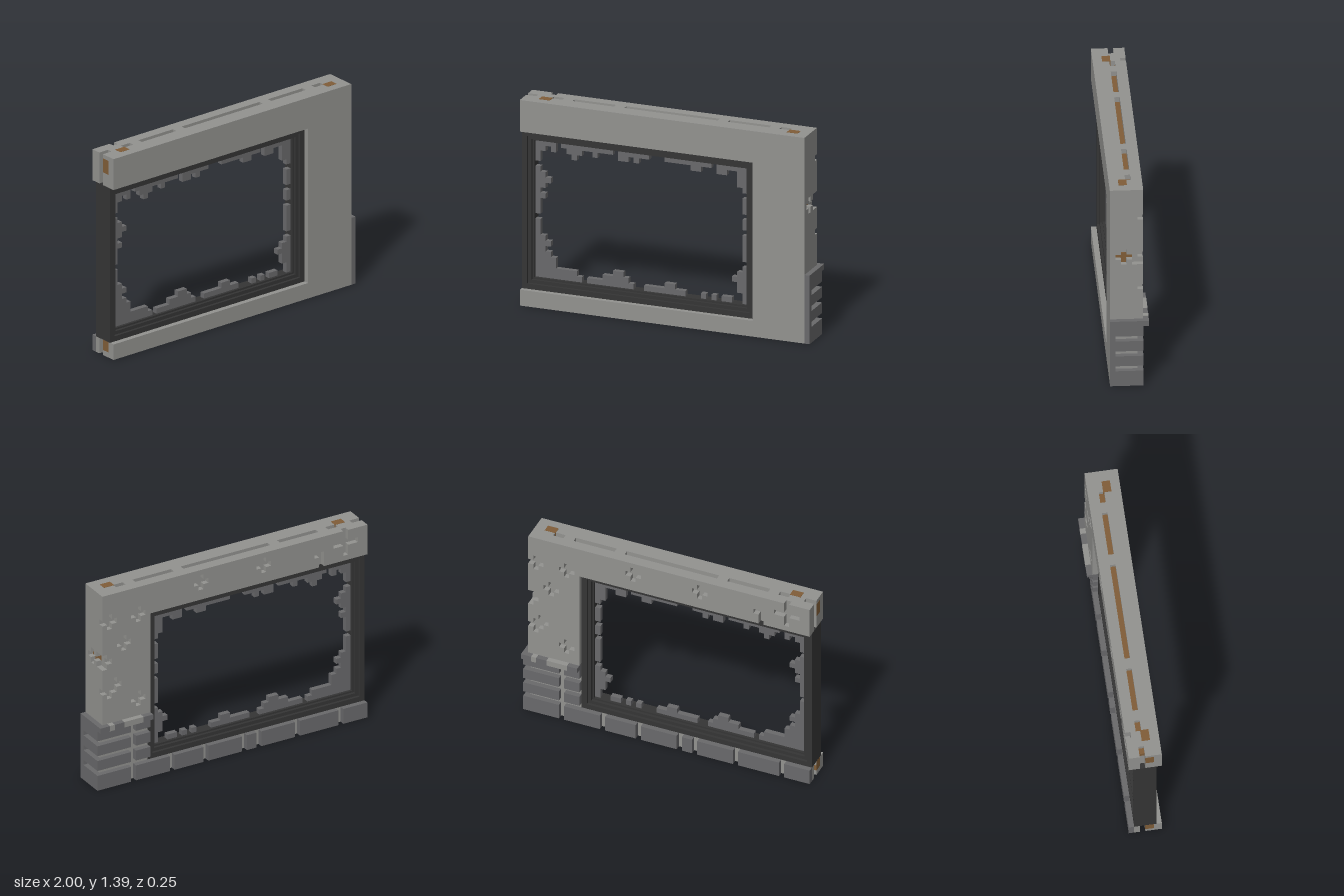
import * as THREE from 'three';

const U = 1 / 28;              // one block; the model fills 56 x 39 x 7 blocks
const SIZE = [56, 39, 7];
const X = i => i * U - 1, Y = j => j * U, Z = k => k * U - 0.125;

const mat = (name, color, extra = {}) => {
  const m = new THREE.MeshStandardMaterial({ color, ...extra });
  m.name = name;
  return m;
};

// Outer skin of a block solid given by a rule, with flat areas merged into large quads
function blockSolid(rule) {
  const filled = c => c.every((v, a) => v >= 0 && v < SIZE[a]) && rule(...c);
  const pos = [], nor = [], index = [];
  for (let d = 0; d < 3; d++) for (const s of [1, -1]) {
    const a = (d + 1) % 3, b = (d + 2) % 3, A = SIZE[a], B = SIZE[b];
    for (let l = 0; l < SIZE[d]; l++) {
      const open = [];
      for (let p = 0; p < A; p++) for (let q = 0; q < B; q++) {
        const c = [];
        c[d] = l; c[a] = p; c[b] = q;
        const n = c.slice();
        n[d] += s;
        open[p * B + q] = filled(c) && !filled(n);
      }
      for (let p = 0; p < A; p++) for (let q = 0; q < B; q++) {
        if (!open[p * B + q]) continue;
        let h = 1, w = 1;
        while (q + h < B && open[p * B + q + h]) h++;
        const row = r => { for (let t = 0; t < h; t++) if (!open[r * B + q + t]) return false; return true; };
        while (p + w < A && row(p + w)) w++;
        for (let r = p; r < p + w; r++) for (let t = q; t < q + h; t++) open[r * B + t] = false;
        const o = pos.length / 3;
        for (const [f, g] of [[0, 0], [w, 0], [w, h], [0, h]]) {
          const v = [], n = [0, 0, 0];
          v[d] = l + (s > 0 ? 1 : 0); v[a] = p + f; v[b] = q + g;
          n[d] = s;
          pos.push(X(v[0]), Y(v[1]), Z(v[2]));
          nor.push(...n);
        }
        index.push(...(s > 0 ? [o, o + 1, o + 2, o, o + 2, o + 3] : [o, o + 2, o + 1, o, o + 3, o + 2]));
      }
    }
  }
  const geo = new THREE.BufferGeometry();
  geo.setAttribute('position', new THREE.Float32BufferAttribute(pos, 3));
  geo.setAttribute('normal', new THREE.Float32BufferAttribute(nor, 3));
  geo.setIndex(index);
  return geo;
}

export function createModel() {
  const stone = mat('wall grey', 0x92928f);
  const darkStone = mat('plinth grey', 0x69696b);
  const metal = mat('frame charcoal', 0x353535);
  const wood = mat('timber brown', 0x805d38);
  const model = new THREE.Group();

  const add = (name, geo, material) => {
    const m = new THREE.Mesh(geo, material);
    m.name = name;
    model.add(m);
    return m;
  };
  // Box between two corners in block units
  const box = (name, material, [x0, y0, z0], [x1, y1, z1]) => {
    const m = add(name, new THREE.BoxGeometry((x1 - x0) * U, (y1 - y0) * U, (z1 - z0) * U), material);
    m.position.set(X((x0 + x1) / 2), Y((y0 + y1) / 2), Z((z0 + z1) / 2));
  };

  // Cross-shaped chips in the back: centre column, centre row, arm length
  const chips = [[53, 33, 1], [47, 33, 1], [50, 28, 1], [54, 25, 1], [53, 19, 1], [52, 20, 1],
    [47, 16, 1], [34, 36, 1], [21, 36, 1], [4, 36, 2]];
  const chipped = (i, j) =>
    chips.some(([x, y, r]) => (i === x && Math.abs(j - y) <= r) || (j === y && Math.abs(i - x) <= r)) ||
    (i === 9 && j >= 33 && j <= 35) || (i === 10 && j === 35);
  const slots = [[0, 1], [5, 6], [9, 16], [19, 36], [39, 46], [49, 50]];

  // Wall surrounding the window
  add('wall', blockSolid((i, j, k) => {
    if (i > 54 || k < 1) return false;
    if (i < 45 && j >= 3 && j < 33) return false;
    if (k === 1 && (j < 3 || (i >= 45 && j < 13) || chipped(i, j))) return false;
    if (k === 3 && i === 0) return false;
    if (k === 3 && (j === 38 || j === 0) && slots.some(([a, b]) => i >= a && i <= b)) return false;
    if (i === 54 && Math.abs(k - 4) + Math.abs(j - 25) <= 1) return false;
    if (i === 54 && k === 2 && j >= 24 && j <= 26) return false;
    return true;
  }), stone);

  // Brick plinth: back courses, side panel with grooves, ledge
  const joints = [48, 40, 33, 25, 22, 14, 5];
  add('plinth', blockSolid((i, j, k) => {
    if (j > 12) return false;
    if (j === 12) return i === 55 || (i >= 45 && k <= 1);
    const groove = j === 3 || j === 6 || j === 9;
    if (i === 55) return k >= 1 && !(groove && k < 6);
    if (k !== 1 || groove) return false;
    return j < 3 ? !joints.includes(i) : i >= 45 && i !== 48;
  }), darkStone);
  for (const [a, b] of [[47, 51], [53, 54]])
    box('ledgePatch', stone, [a, 11.95, -0.02], [b, 13.05, 1]);

  // Stepped window frame made of three nested rings
  const rect = (P, e) => new P([[e, 3 + e], [45 - e, 3 + e], [45 - e, 33 - e], [e, 33 - e]]
    .map(([x, y]) => new THREE.Vector2(X(x), Y(y))));
  for (const [outer, inner, back, front] of [[0, 1, 2, 6], [1, 1.65, 2.5, 5.5], [1.65, 2, 3, 5]]) {
    const shape = rect(THREE.Shape, outer);
    shape.holes.push(rect(THREE.Path, inner));
    const ring = add('windowFrame',
      new THREE.ExtrudeGeometry(shape, { depth: (front - back) * U, bevelEnabled: false }), metal);
    ring.position.z = Z(back);
  }

  // Ragged remains of the pane: depth in blocks along each edge of the opening
  const top = '22120123211211102212110001111122110221122';
  const bottom = '44332222101112233210011112211000101011000';
  const left = '53343232111011121232101122';
  const right = '11223210111110110111012222';
  const shards = add('paneRemains', blockSolid((i, j, k) => {
    if (k !== 3 || i < 2 || i > 42 || j < 5 || j > 30) return false;
    const x = i - 2, y = j - 5;
    return 25 - y < +top[x] || y < +bottom[x] || x < +left[y] || 40 - x < +right[y];
  }), darkStone);
  shards.position.z = U / 2;

  // Timber beams showing at the bottom of the slots
  box('topBeam', wood, [0.95, 37.03, 3], [53.8, 38.03, 4]);
  box('bottomBeam', wood, [0.95, 0.97, 3], [53.8, 1.97, 4]);
  // Timber pegs flush with the top and underside
  for (const i of [3, 50.9]) box('topPeg', wood, [i, 38, 3.8], [i + 2.1, 39.04, 5.3]);
  for (const i of [3, 26.5, 50.9]) box('bottomPeg', wood, [i, -0.02, 3.8], [i + 2.1, 1, 5.3]);
  // Timber ends on the open left edge
  for (const [a, b] of [[35.5, 38.2], [1, 3]])
    box('timberEnd', wood, [-0.02, a, 4], [0.5, b, 5.6]);
  // Timber inside the chip on the side face
  box('sideTimber', wood, [53.9, 25, 3], [54.05, 26, 6]);
  box('sideTimber', wood, [53.9, 24, 4], [54.05, 25, 5]);

  return model;
}
